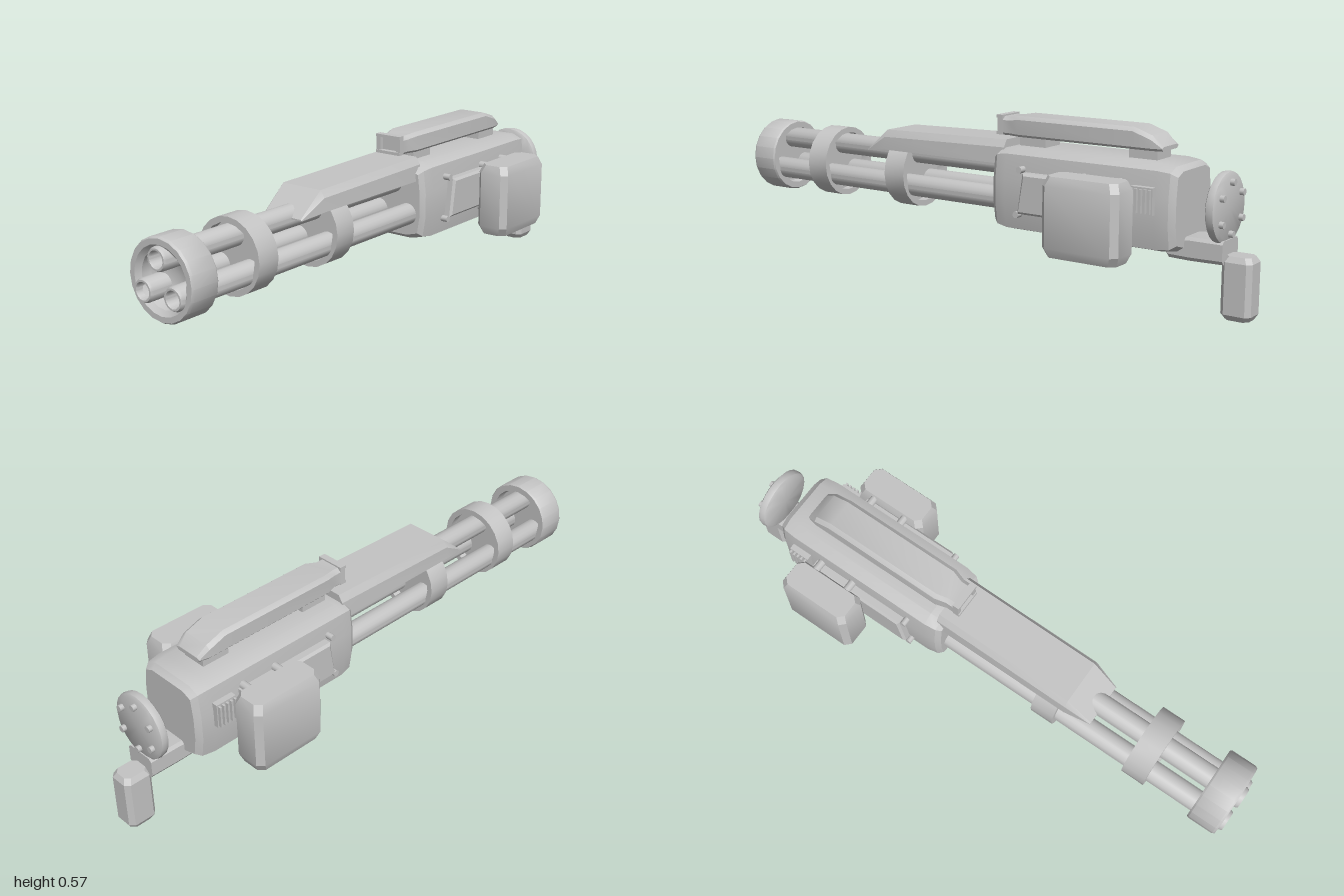
import * as THREE from 'three';
import { toCreasedNormals } from 'three/addons/utils/BufferGeometryUtils.js';

export function createModel() {
  const model = new THREE.Group();
  const grey = new THREE.MeshStandardMaterial({ color: 0xc4c4c4 });
  grey.name = 'grey metal';

  const add = (name, geo, x = 0, y = 0, z = 0, parent = model) => {
    const mesh = new THREE.Mesh(geo, grey);
    mesh.name = name;
    mesh.position.set(x, y, z);
    parent.add(mesh);
    return mesh;
  };
  const box = (w, h, d) => new THREE.BoxGeometry(w, h, d);

  // Skins matching cross-sections (lists of [x, y, z]) and closes both ends
  const loft = (sections) => {
    const out = [], n = sections[0].length;
    const tri = (a, b, c) => out.push(a, b, c);
    for (let s = 0; s < sections.length - 1; s++) {
      const A = sections[s], B = sections[s + 1];
      for (let i = 0; i < n; i++) {
        const j = (i + 1) % n;
        tri(A[i], A[j], B[j]);
        tri(A[i], B[j], B[i]);
      }
    }
    const first = sections[0], last = sections[sections.length - 1];
    for (let i = 1; i < n - 1; i++) {
      tri(first[0], first[i + 1], first[i]);
      tri(last[0], last[i], last[i + 1]);
    }
    // Turn every face outward if the loops run the other way
    const v = (p) => new THREE.Vector3(...p);
    let volume = 0;
    for (let i = 0; i < out.length; i += 3) volume += v(out[i]).dot(v(out[i + 1]).cross(v(out[i + 2])));
    if (volume < 0) out.reverse();
    const geo = new THREE.BufferGeometry();
    geo.setAttribute('position', new THREE.Float32BufferAttribute(out.flat(), 3));
    return toCreasedNormals(geo, 0.45);
  };

  // Rectangle with cut corners, as [u, v] points
  const cutRect = (w, h, c) => [
    [w - c, -h], [w, -h + c], [w, h - c], [w - c, h],
    [-w + c, h], [-w, h - c], [-w, -h + c], [-w + c, -h],
  ];
  // Block with bevelled ends along y, standing on y = 0
  const bevelBlock = (w, h, d, corner, inset, bevel) => loft(
    [[0, inset], [bevel, 0], [h - bevel, 0], [h, inset]].map(([y, k]) =>
      cutRect(w / 2 - k, d / 2 - k, corner).map(([x, z]) => [x, y, z])));
  // Mirrors half an outline to both sides at depth z
  const mirrored = (half, z) => [
    ...half.map(([x, y]) => [x, y, z]),
    ...half.slice().reverse().map(([x, y]) => [-x, y, z]),
  ];
  // Turned shape about the z axis from [radius, z] points
  const turned = (points, sides) => {
    const geo = new THREE.LatheGeometry(points.map(([r, z]) => new THREE.Vector2(r, z)), sides);
    return toCreasedNormals(geo.rotateX(Math.PI / 2), 0.6);
  };

  // Main housing
  const outline = [[0.07, 0.192], [0.122, 0.207], [0.134, 0.28], [0.134, 0.37], [0.124, 0.452], [0.085, 0.469]];
  const housing = [[-0.785, 0.86], [-0.765, 0.96], [-0.72, 1], [-0.17, 1], [-0.13, 0.95], [-0.113, 0.85]];
  add('housing', loft(housing.map(([z, k]) =>
    mirrored(outline.map(([x, y]) => [x * k, 0.33 + (y - 0.33) * k]), z))));
  add('bellyPlate', bevelBlock(0.13, 0.02, 0.24, 0.01, 0.008, 0.008), 0, 0.182, -0.45);

  // Three hollow barrels around the axis
  const axisY = 0.325;
  const barrel = turned([[0.038, -0.12], [0.038, 0.992], [0.034, 1], [0.028, 1], [0.025, 0.994], [0.025, 0.9], [0, 0.9]], 18);
  for (let i = 0; i < 3; i++) {
    const a = Math.PI / 2 + (i * Math.PI * 2) / 3;
    add('barrel' + (i + 1), barrel, Math.cos(a) * 0.071, axisY + Math.sin(a) * 0.071, 0);
  }

  // Muzzle collar with a dished front, and two barrel clamps
  add('muzzleCollar', turned([
    [0, 0.91], [0.1, 0.91], [0.105, 0.882], [0.127, 0.882], [0.131, 0.888], [0.131, 0.978],
    [0.126, 0.986], [0.108, 0.986], [0.092, 0.972], [0.086, 0.94], [0.05, 0.92], [0, 0.915],
  ], 20), 0, axisY + 0.004, 0);
  for (const z of [0.667, 0.305]) {
    add('barrelClamp', turned([
      [0, -0.012], [0.106, -0.012], [0.106, -0.042], [0.126, -0.042],
      [0.126, 0.042], [0.106, 0.042], [0.106, 0.012], [0, 0.012],
    ], 20), 0, axisY + 0.006, z);
  }

  // Sloped cover above the barrels
  add('barrelCover', loft([
    mirrored([[0.097, 0.41], [0.094, 0.465], [0.078, 0.49]], -0.14),
    mirrored([[0.097, 0.41], [0.094, 0.455], [0.078, 0.479]], 0.37),
    mirrored([[0.078, 0.397], [0.078, 0.399], [0.074, 0.402]], 0.463),
  ]));

  // Sight rail on two stands, with a framed window in its nose
  const sight = new THREE.Group();
  sight.name = 'sightRail';
  model.add(sight);
  const rail = (z, w, top) => mirrored(
    [[w - 0.008, 0.498], [w, 0.506], [w, Math.max(0.508, top - 0.012)], [w - 0.014, top]], z);
  add('railBody', loft([
    rail(-0.7, 0.054, 0.512), rail(-0.665, 0.062, 0.545), rail(-0.6, 0.062, 0.567),
    rail(-0.17, 0.062, 0.567), rail(-0.13, 0.05, 0.56), rail(-0.1, 0.05, 0.56),
  ]), 0, 0, 0, sight);
  for (const y of [0.504, 0.56]) add('windowBar', box(0.1, 0.01, 0.024), 0, y, -0.092, sight);
  for (const x of [-0.042, 0.042]) add('windowPost', box(0.016, 0.05, 0.02), x, 0.532, -0.094, sight);
  for (const z of [-0.22, -0.63]) add('railStand', box(0.088, 0.05, 0.1), 0, 0.482, z, sight);

  // Side pods, panels, bolts and vents, built the same on both sides
  const podGeo = bevelBlock(0.121, 0.255, 0.272, 0.02, 0.012, 0.03);
  const boltGeo = new THREE.CylinderGeometry(0.011, 0.011, 0.04, 10).rotateZ(Math.PI / 2);
  const mountGeo = new THREE.CylinderGeometry(0.014, 0.014, 0.06, 10).rotateZ(Math.PI / 2);
  for (const side of [1, -1]) {
    const group = new THREE.Group();
    group.name = side > 0 ? 'leftSide' : 'rightSide';
    model.add(group);
    add('pod', podGeo, side * 0.2175, 0.17, -0.535, group);
    // Panel with a slanted front edge
    const panelAt = (x, k) => [
      [side * x, 0.265 + k, -0.235 - k], [side * x, 0.4 - k, -0.255 - k],
      [side * x, 0.4 - k, -0.62 + k], [side * x, 0.265 + k, -0.62 + k],
    ];
    add('sidePanel', loft([panelAt(0.12, 0), panelAt(0.154, 0), panelAt(0.162, 0.008)]), 0, 0, 0, group);
    for (const [y, z] of [[0.26, -0.228], [0.408, -0.24]]) add('bolt', boltGeo, side * 0.135, y, z, group);
    for (const y of [0.25, 0.405]) {
      for (const z of [-0.47, -0.6]) add('podMount', mountGeo, side * 0.14, y, z, group);
    }
    // Vent with upright fins
    add('ventBase', box(0.03, 0.085, 0.075), side * 0.136, 0.36, -0.685, group);
    for (let i = 0; i < 5; i++) {
      add('ventFin', box(0.012, 0.075, 0.007), side * 0.156, 0.36, -0.655 - i * 0.015, group);
    }
  }

  // Rear disc with six bolts
  add('rearDisc', turned([[0, -0.908], [0.1, -0.908], [0.111, -0.902], [0.113, -0.89],
    [0.11, -0.878], [0.1, -0.872], [0, -0.872]], 24), 0, 0.34, 0);
  const studGeo = new THREE.CylinderGeometry(0.011, 0.011, 0.02, 10).rotateX(Math.PI / 2);
  for (let i = 0; i < 6; i++) {
    const a = (i * Math.PI) / 3 + Math.PI / 6;
    add('discBolt', studGeo, Math.cos(a) * 0.08, 0.34 + Math.sin(a) * 0.08, -0.912);
  }

  // Bracket under the disc, and the hanging grip
  const bracket = (z, bottom, top) =>
    mirrored([[0.046, bottom], [0.055, bottom + 0.012], [0.055, top - 0.01], [0.046, top]], z);
  add('rearBracket', loft([
    bracket(-0.912, 0.172, 0.245), bracket(-0.8, 0.17, 0.245),
    bracket(-0.73, 0.172, 0.235), bracket(-0.705, 0.205, 0.235),
  ]));
  add('grip', bevelBlock(0.086, 0.2, 0.1, 0.015, 0.01, 0.018), 0, 0, -0.95);

  return model;
}
